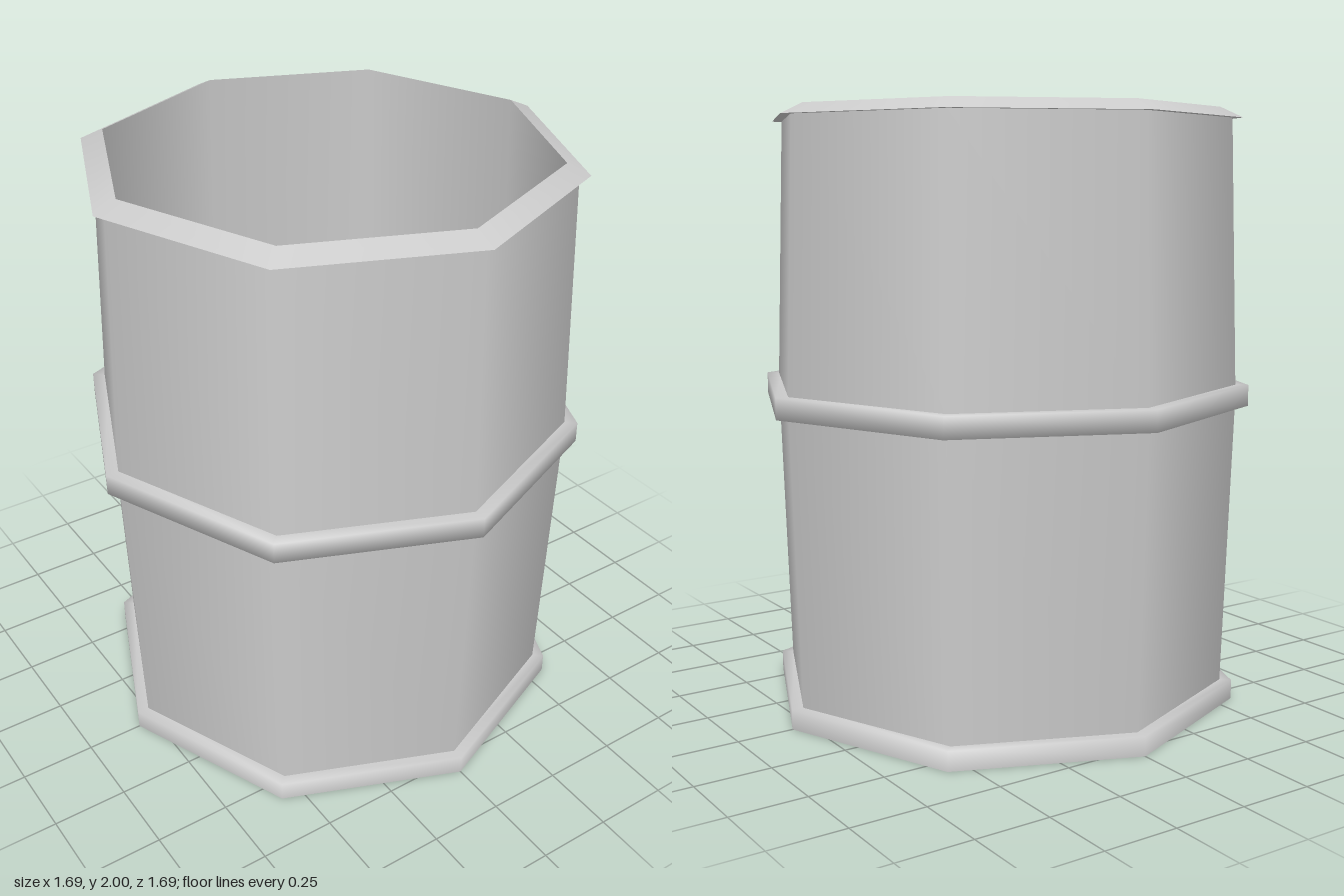
import * as THREE from 'three';

const SIDES = 8;

export function createModel() {
  const model = new THREE.Group();
  const material = new THREE.MeshStandardMaterial({ color: 0xcccccc });

  // Turns a [radius, height] profile into an eight-sided, smoothly shaded part
  function turned(name, profile) {
    const points = profile.map(([r, y]) => new THREE.Vector2(r, y));
    const mesh = new THREE.Mesh(new THREE.LatheGeometry(points, SIDES), material);
    mesh.name = name;
    model.add(mesh);
  }

  // Flat octagonal disc facing up or down
  function disc(name, radius, y, up) {
    const mesh = new THREE.Mesh(new THREE.CircleGeometry(radius, SIDES), material);
    mesh.rotation.x = up ? -Math.PI / 2 : Math.PI / 2;
    mesh.position.y = y;
    mesh.name = name;
    model.add(mesh);
  }

  // Staves, bulging slightly towards the middle
  turned('outerWall', [[0.77, 0.065], [0.8, 1.02], [0.8, 1.09], [0.77, 1.965]]);
  turned('innerWall', [[0.73, 2], [0.76, 1.09], [0.76, 1.02], [0.73, 0.065]]);
  disc('innerFloor', 0.74, 0.065, true);

  // Sloping top rim with a flat underside
  turned('topRim', [[0.805, 1.965], [0.73, 2]]);
  turned('rimUnderside', [[0.765, 1.965], [0.805, 1.965]]);

  // Hoop around the middle
  turned('middleHoop', [[0.79, 1.02], [0.843, 1.02], [0.843, 1.09], [0.79, 1.09]]);

  // Hoop and closed underside at the foot
  turned('baseHoop', [[0.81, 0], [0.81, 0.065], [0.765, 0.065]]);
  disc('underside', 0.81, 0, false);

  return model;
}
